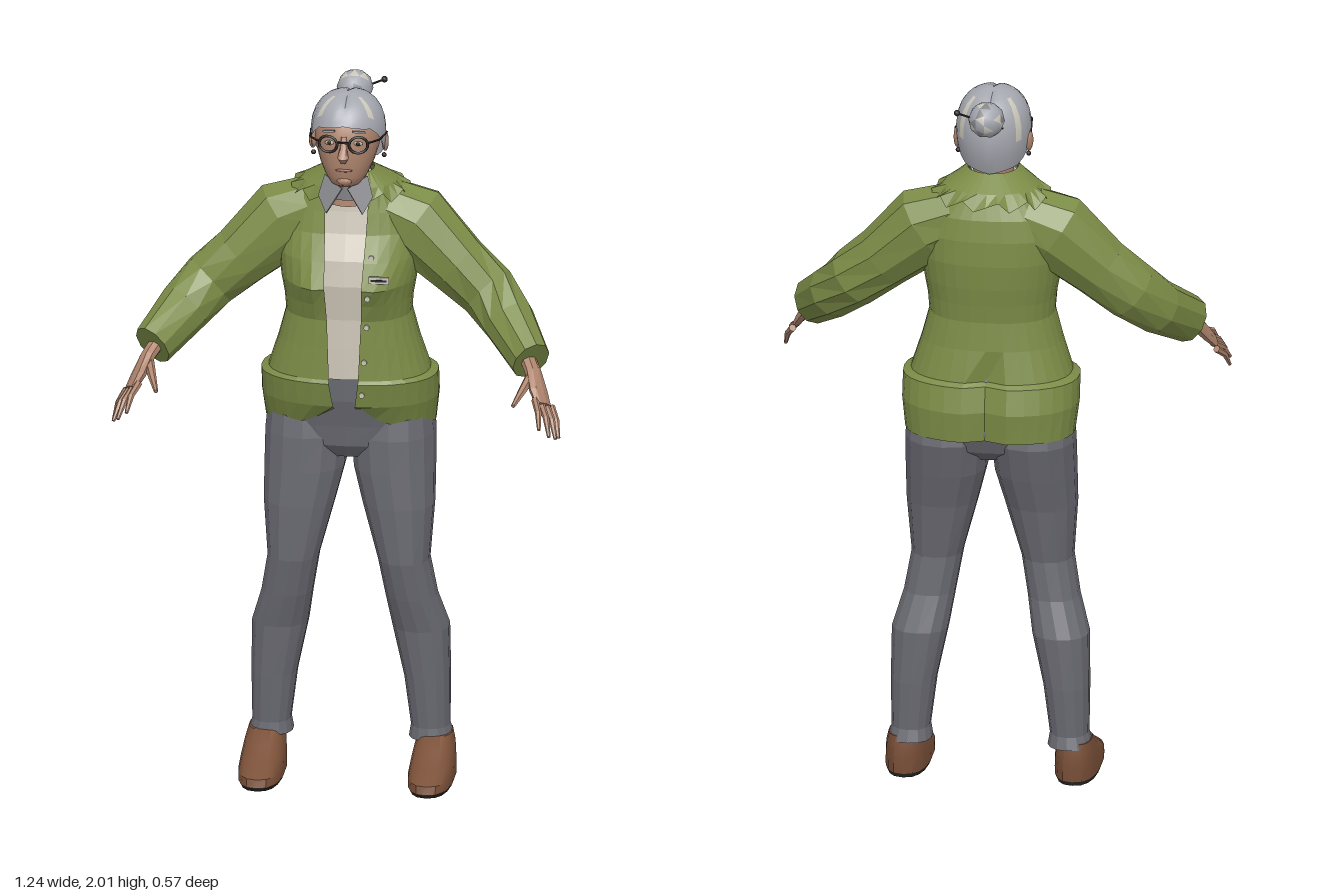
import * as THREE from 'three';
import { toCreasedNormals } from 'three/addons/utils/BufferGeometryUtils.js';

const mat = (name, color) => Object.assign(new THREE.MeshStandardMaterial({ color }), { name });
const V = (x, y, z) => new THREE.Vector3(x, y, z);
const bell = (d, w) => Math.exp(-((d / w) ** 2));
const spow = (v, p) => Math.sign(v) * Math.abs(v) ** p;

// Piecewise linear lookup in rows of [key, value, value...]
function lookup(table, k) {
  let i = 0;
  while (i < table.length - 2 && k > table[i + 1][0]) i++;
  const a = table[i], b = table[i + 1];
  const t = THREE.MathUtils.clamp((k - a[0]) / (b[0] - a[0]), 0, 1);
  return a.slice(1).map((v, j) => v + (b[j + 1] - v) * t);
}

// Skin over rows of points; crease 0 gives flat facets
function skin(rows, { closed = true, caps = true, crease = 0, pick } = {}) {
  const n = rows[0].length, pos = [], sets = [[], []];
  rows.forEach(r => r.forEach(p => pos.push(p.x, p.y, p.z)));
  const cols = closed ? n : n - 1;
  for (let j = 0; j < rows.length - 1; j++) for (let i = 0; i < cols; i++) {
    const k = (i + 1) % n, a = j * n + i, b = j * n + k;
    sets[pick && pick(i, j) ? 1 : 0].push(a, b, b + n, a, b + n, a + n);
  }
  if (caps) [0, rows.length - 1].forEach((j, end) => {
    const c = rows[j].reduce((s, p) => s.add(p), V(0, 0, 0)).divideScalar(n), id = pos.length / 3;
    pos.push(c.x, c.y, c.z);
    for (let i = 0; i < n; i++) {
      const a = j * n + i, b = j * n + (i + 1) % n;
      sets[0].push(id, end ? a : b, end ? b : a);
    }
  });
  let g = new THREE.BufferGeometry();
  g.setAttribute('position', new THREE.Float32BufferAttribute(pos, 3));
  g.setIndex([...sets[0], ...sets[1]]);
  g = g.toNonIndexed();
  if (crease) g = toCreasedNormals(g, crease); else g.computeVertexNormals();
  if (pick) {
    g.addGroup(0, sets[0].length, 0);
    g.addGroup(sets[0].length, sets[1].length, 1);
  }
  return g;
}

// Horizontal ring between zf (front) and zb (back), starting at the front
function ring(y, rx, zf, zb, { n = 20, cx = 0, p = 1, gap = 0 } = {}) {
  const a0 = gap ? Math.asin(Math.min(1, (gap / rx) ** (1 / p))) : 0;
  return Array.from({ length: gap ? n + 1 : n }, (_, i) => {
    const a = a0 + (i / n) * (2 * Math.PI - 2 * a0);
    return V(cx + rx * spow(Math.sin(a), p), y, (zf + zb) / 2 + (zf - zb) / 2 * spow(Math.cos(a), p));
  });
}
const loft = (sections, o = {}) => skin(sections.map(s => ring(...s, o)), o);

// Tapered limb along points; each radius is [along ref, across ref]
function limb(pts, radii, ref = V(0, 1, 0), n = 10, crease = 0) {
  return skin(pts.map((p, i) => {
    const t = pts[Math.min(i + 1, pts.length - 1)].clone().sub(pts[Math.max(i - 1, 0)]).normalize();
    const u = ref.clone().addScaledVector(t, -ref.dot(t)).normalize(), v = t.clone().cross(u);
    const [ru, rv] = [].concat(radii[i], radii[i]);
    return Array.from({ length: n }, (_, k) => {
      const a = k / n * 2 * Math.PI;
      return p.clone().addScaledVector(u, ru * Math.cos(a)).addScaledVector(v, (Array.isArray(radii[i]) ? rv : ru) * Math.sin(a));
    });
  }), { crease });
}

// Jacket sections: y, half width, front z, back z
const JACKET = [[1.04, .235, .005, -.282], [1.11, .245, .035, -.288], [1.18, .245, .05, -.27], [1.19, .224, .045, -.255],
  [1.28, .195, .04, -.236], [1.36, .174, .035, -.226], [1.41, .178, .04, -.23], [1.46, .187, .045, -.236], [1.53, .196, .032, -.24],
  [1.6, .195, .0, -.236], [1.66, .175, -.015, -.226], [1.72, .125, -.025, -.2], [1.76, .075, -.025, -.165]];
const P = .85;
const bust = (x, y) => .034 * bell(Math.abs(x) - .09, .055) * bell(y - 1.46, .055);
function jacketZ(x, y) {
  const [rx, zf, zb] = lookup(JACKET, y), s = Math.abs(x / rx) ** (1 / P);
  return (zf + zb) / 2 + (zf - zb) / 2 * Math.sqrt(1 - s * s) ** P + bust(x, y);
}

export function createModel() {
  const root = new THREE.Group();
  root.name = 'elderlyWoman';
  const M = {
    jacket: mat('jacketGreen', 0x7b8b46), trousers: mat('trouserGrey', 0x6a6a72), shirt: mat('shirtCream', 0xcac3b5),
    skin: mat('skin', 0xb0866f), hair: mat('hairGrey', 0xa6a8b0), pale: mat('paleHighlight', 0xcbc7b9),
    shoe: mat('shoeBrown', 0x7a5038), dark: mat('darkTrim', 0x2b2725), collar: mat('collarGrey', 0x85868a), lips: mat('lips', 0x8f5f52),
  };
  M.jacket.side = M.hair.side = M.pale.side = M.collar.side = THREE.DoubleSide;
  const add = (name, geo, material, x = 0, y = 0, z = 0) => {
    const m = new THREE.Mesh(geo, material);
    m.name = name;
    m.position.set(x, y, z);
    root.add(m);
    return m;
  };

  // Open jacket with bust, curved hem and back cleft
  const jacketRows = JACKET.map(([y, rx, zf, zb]) => {
    const gap = y < 1.15 ? .03 : .04 + .02 * (y - 1.18) / .5;
    return ring(y, rx, zf, zb, { n: 30, p: P, gap }).map(p => {
      if (p.z > -.1) p.z += bust(p.x, y);
      else if (y < 1.2) p.z += .025 * bell(p.x, .03);
      if (y < 1.05) p.y += p.z > -.1 ? .06 * bell(p.x, .09) : -.015;
      return p;
    });
  });
  add('jacket', skin(jacketRows, { closed: false, caps: false }), M.jacket);
  // Ragged cape collar
  const cape = [[1.69, .165, .0, -.24], [1.735, .13, -.005, -.215], [1.775, .07, -.01, -.155]].map((s, j) =>
    ring(...s, { n: 32, p: .9, gap: .05 }).map((p, i) => (j || (p.y += (i % 3) * .014), p)));
  add('jacketCollar', skin(cape, { closed: false, caps: false }), M.jacket);
  add('shirt', loft(JACKET.filter(s => s[0] > 1.18).map(([y, rx, zf, zb]) => [y, rx * .88, zf - .01, zb + .03]), { p: P }), M.shirt);
  // Buttons and name plate
  [1.545, 1.44, 1.345, 1.245, 1.15].forEach((y, i) => {
    const x = .075 - i * .006;
    add('button', new THREE.CylinderGeometry(.008, .008, .006, 8).rotateX(Math.PI / 2), M.pale, x, y, jacketZ(x, y) + .004);
  });
  const plateZ = jacketZ(.1, 1.49) + .006;
  add('namePlate', new THREE.BoxGeometry(.056, .02, .008), M.pale, .1, 1.492, plateZ);
  add('namePlateBand', new THREE.BoxGeometry(.044, .006, .004), M.dark, .1, 1.492, plateZ + .004);

  // Trousers
  add('hips', loft([[.94, .1, -.04, -.18], [.98, .19, -.01, -.235], [1.04, .225, .0, -.26], [1.12, .222, .02, -.255], [1.23, .18, .026, -.22]], { p: .85 }), M.trousers);
  const LEG = [[.105, .222, .062, -.07, -.21], [.14, .22, .054, -.075, -.2], [.28, .212, .064, -.062, -.21], [.43, .195, .079, -.048, -.212],
    [.53, .172, .072, -.022, -.18], [.64, .153, .072, .0, -.17], [.8, .137, .1, .005, -.2], [.9, .124, .113, .003, -.232], [1.0, .119, .117, .0, -.26], [1.06, .12, .11, -.01, -.25]];

  for (const s of [1, -1]) {
    const side = s > 0 ? 'left' : 'right';
    add(side + 'TrouserLeg', skin(LEG.map(([y, cx, rx, zf, zb]) => ring(y, rx, zf, zb, { n: 14, cx: s * cx, p: .9 }))), M.trousers);
    // Shoe and sole
    const o = { n: 18, cx: s * .235, p: .8, crease: .6 };
    add(side + 'Sole', loft([[0, .058, .1, -.2], [.012, .063, .11, -.205]], o), M.dark);
    add(side + 'Shoe', loft([[.012, .063, .11, -.205], [.035, .063, .104, -.207], [.06, .06, .05, -.207],
      [.09, .055, -.02, -.206], [.12, .047, -.07, -.2]], o), M.shoe);
    // Sleeve
    const q = (x, y, z) => V(s * x, y, z);
    add(side + 'Sleeve', limb([q(.09, 1.645, -.12), q(.18, 1.605, -.12), q(.3, 1.495, -.1), q(.385, 1.425, -.085), q(.45, 1.36, -.03), q(.525, 1.285, .08)],
      [.09, [.112, .098], [.09, .085], [.084, .076], [.076, .074], [.066, .054]]), M.jacket);
    // Hand
    const across = q(.5, -.45, -.75);
    add(side + 'Palm', limb([q(.505, 1.3, .05), q(.535, 1.262, .11), q(.555, 1.222, .155), q(.572, 1.192, .183)],
      [[.026, .022], [.028, .02], [.038, .017], [.035, .012]], across, 8), M.skin);
    [[.572, 1.157, .285], [.598, 1.132, .27], [.613, 1.118, .245], [.617, 1.108, .208]].forEach((t, i) => {
      const b = q(.55 + .013 * i, 1.212 - .012 * i, .192 - .016 * i), tip = q(...t);
      const mid = b.clone().lerp(tip, .5).add(q(.004, .007, .004));
      add(side + 'Finger', limb([b, mid, tip], [.0105, .009, .005], across, 6), M.skin);
    });
    add(side + 'Thumb', limb([q(.53, 1.255, .125), q(.515, 1.235, .18), q(.495, 1.208, .243)], [.015, .012, .006], across, 6), M.skin);

    // Ear and earring
    add(side + 'Ear', new THREE.SphereGeometry(1, 10, 8).scale(.01, .03, .018).rotateY(s * .3), M.skin, s * .1, 1.852, -.085);
    add(side + 'Earring', new THREE.SphereGeometry(.007, 8, 6), M.dark, s * .098, 1.812, -.08);
    // Eye, brow and spectacles
    add(side + 'Eye', new THREE.SphereGeometry(1, 10, 6).scale(.013, .007, .004), M.pale, s * .04, 1.882, .034);
    add(side + 'Pupil', new THREE.SphereGeometry(1, 8, 6).scale(.006, .006, .003), M.dark, s * .04, 1.882, .037);
    add(side + 'Brow', new THREE.BoxGeometry(.036, .005, .006).rotateZ(-s * .15).rotateY(s * .35), M.hair, s * .042, 1.915, .034);
    add(side + 'SpectacleRim', new THREE.TorusGeometry(.026, .0042, 6, 18).scale(1, .9, 1).rotateY(s * .2), M.dark, s * .042, 1.882, .047);
    add(side + 'SpectacleArm', limb([q(.067, 1.887, .042), q(.096, 1.885, .0), q(.105, 1.878, -.085)], [.003, .003, .003], V(0, 1, 0), 5), M.dark);
    // Pointed shirt collar wing
    const wing = new THREE.Shape([[0, 0], [.062, .03], [.07, -.03], [.035, -.075]].map(([x, y]) => new THREE.Vector2(s * x, y)));
    add(side + 'ShirtCollar', new THREE.ExtrudeGeometry(wing, { depth: .006, bevelEnabled: false }).rotateX(-.35).rotateY(s * .45), M.collar, s * .006, 1.74, .012);
  }
  add('spectacleBridge', new THREE.BoxGeometry(.034, .005, .005), M.dark, 0, 1.888, .051);

  // Neck, head and face
  add('collarBand', loft([[1.7, .075, -.005, -.155], [1.765, .066, .0, -.14]], { caps: false }), M.collar);
  add('neck', loft([[1.68, .06, -.01, -.14], [1.73, .056, -.015, -.13], [1.8, .056, -.02, -.14]], { crease: 1 }), M.skin);
  add('head', loft([[1.745, .026, .01, -.05], [1.753, .043, .024, -.08], [1.778, .06, .032, -.11], [1.81, .075, .038, -.145], [1.85, .087, .04, -.165],
    [1.885, .092, .038, -.17], [1.93, .09, .03, -.165], [1.97, .06, -.005, -.13]], { n: 24, p: .92, crease: .9 }), M.skin);
  add('nose', limb([V(0, 1.9, .034), V(0, 1.868, .044), V(0, 1.843, .054), V(0, 1.833, .045)], [.007, .01, .016, .01], V(0, 0, 1), 8, .8), M.skin);
  add('mouth', new THREE.SphereGeometry(1, 10, 6).scale(.024, .005, .006), M.lips, 0, 1.802, .034);
  add('chin', new THREE.SphereGeometry(1, 10, 8).scale(.022, .014, .014), M.skin, 0, 1.768, .021);

  // Hair cap with a swept hairline, centre parting and pale streaks
  const LINE = [[0, 1.932], [.8, 1.918], [1.15, 1.885], [1.45, 1.835], [1.75, 1.83], [2.1, 1.795], [3.15, 1.775]];
  const hairRows = Array.from({ length: 9 }, (_, j) => Array.from({ length: 32 }, (_, i) => {
    const a = i / 32 * 2 * Math.PI, [low] = lookup(LINE, Math.min(a, 2 * Math.PI - a));
    const y = low + (2 - low) * Math.sin(j / 8 * Math.PI / 2);
    const r = y > 1.88 ? Math.max(.02, 1 - ((y - 1.88) / .12) ** 2.4) ** .42 : 1 - .22 * ((1.88 - y) / .105) ** 2;
    const x = r * .104 * Math.sin(a);
    return V(x, y - (j ? .007 * bell(x, .008) : 0), -.069 + r * .119 * Math.cos(a));
  }));
  const streaks = [4, 11, 20, 27];
  add('hair', skin(hairRows, { crease: .6, caps: false, pick: (i, j) => j > 1 && j < 6 && streaks.includes(i) }), [M.hair, M.pale]);
  const top = hairRows[8].map(p => p.clone());
  add('hairCrown', skin([top, top.map(p => V(p.x * .1, 2, -.069 + (p.z + .069) * .1))], { caps: false, crease: 1 }), M.hair);

  // Faceted bun with mixed greys, and hair pin
  const bun = new THREE.IcosahedronGeometry(.051, 1);
  for (let f = 0; f < 80; f++) bun.addGroup(f * 3, 3, (f * 7) % 5 === 0 ? 1 : (f * 11) % 9 === 0 ? 2 : 0);
  add('bun', bun, [M.hair, M.pale, M.collar], 0, 1.957, -.218);
  add('hairPin', limb([V(-.045, 1.93, -.21), V(.08, 1.978, -.232)], [.003, .003], V(0, 1, 0), 6), M.dark);
  add('hairPinBead', new THREE.SphereGeometry(.009, 8, 6), M.dark, .08, 1.978, -.232);
  return root;
}
